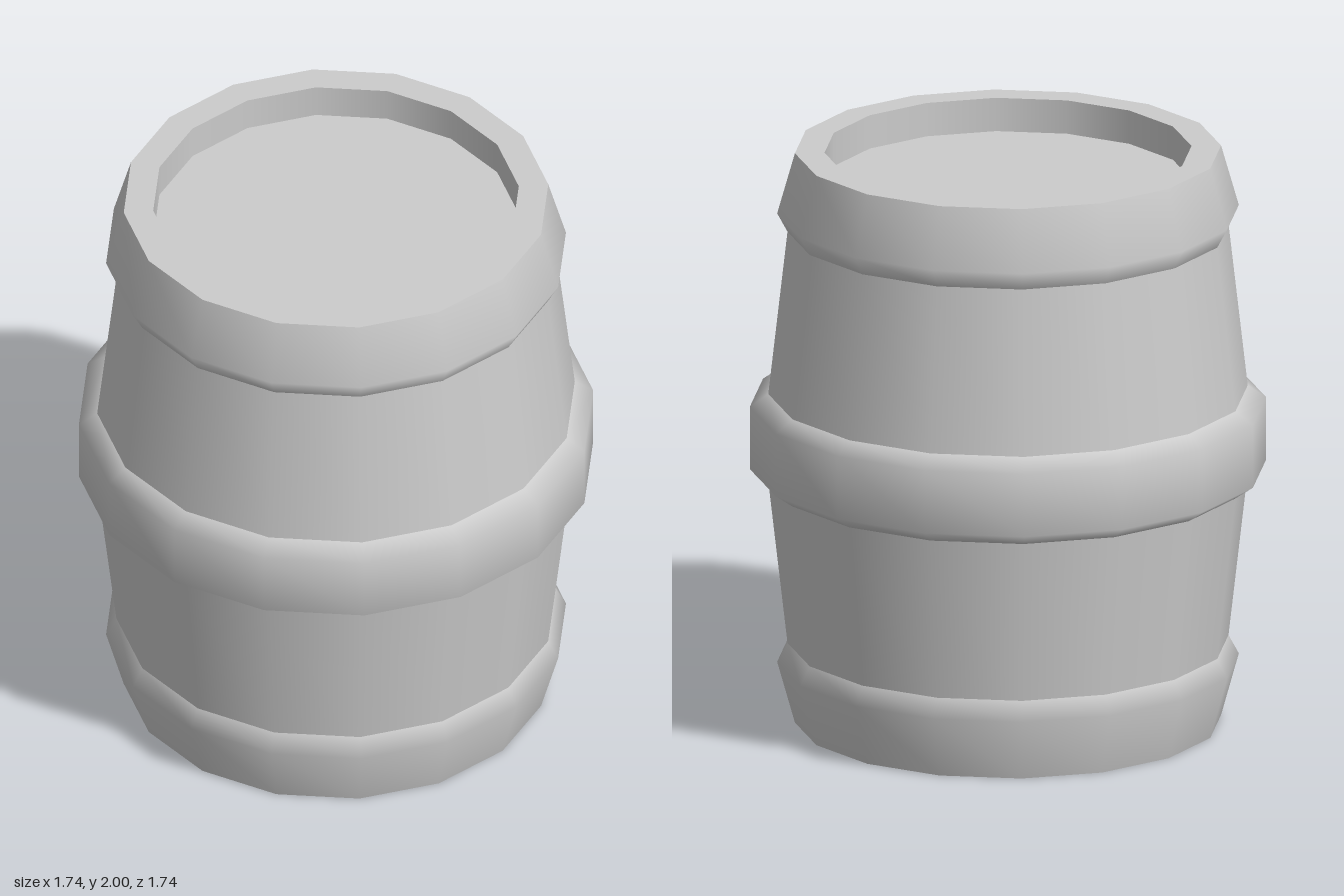
import * as THREE from 'three';

const SIDES = 16;
const material = new THREE.MeshStandardMaterial({ color: 0xcccccc });

// Revolves a [radius, height] profile, listed in order from bottom centre up the outside to top centre
function ring(name, profile) {
  const points = profile.map(([r, y]) => new THREE.Vector2(r, y));
  const mesh = new THREE.Mesh(new THREE.LatheGeometry(points, SIDES), material);
  mesh.name = name;
  return mesh;
}

export function createModel() {
  const barrel = new THREE.Group();
  barrel.name = 'barrel';

  // Recessed bottom and its rim
  barrel.add(ring('bottomLid', [[0, 0.095], [0.65, 0.095]]));
  barrel.add(ring('bottomInnerWall', [[0.65, 0.095], [0.65, 0]]));
  barrel.add(ring('bottomRim', [[0.65, 0], [0.72, 0]]));

  // Hoops and staves, smooth within each and creased where they meet
  barrel.add(ring('bottomHoop', [[0.72, 0], [0.78, 0.215], [0.745, 0.28]]));
  barrel.add(ring('lowerStaves', [[0.745, 0.28], [0.81, 0.85]]));
  barrel.add(ring('middleHoop', [[0.81, 0.85], [0.872, 0.893], [0.872, 1.113], [0.81, 1.156]]));
  barrel.add(ring('upperStaves', [[0.81, 1.156], [0.745, 1.725]]));
  barrel.add(ring('topHoop', [[0.745, 1.725], [0.78, 1.79], [0.72, 2]]));

  // Top rim and recessed lid
  barrel.add(ring('topRim', [[0.72, 2], [0.62, 2]]));
  barrel.add(ring('topInnerWall', [[0.62, 2], [0.62, 1.883]]));
  barrel.add(ring('topLid', [[0.62, 1.883], [0, 1.883]]));

  return barrel;
}
